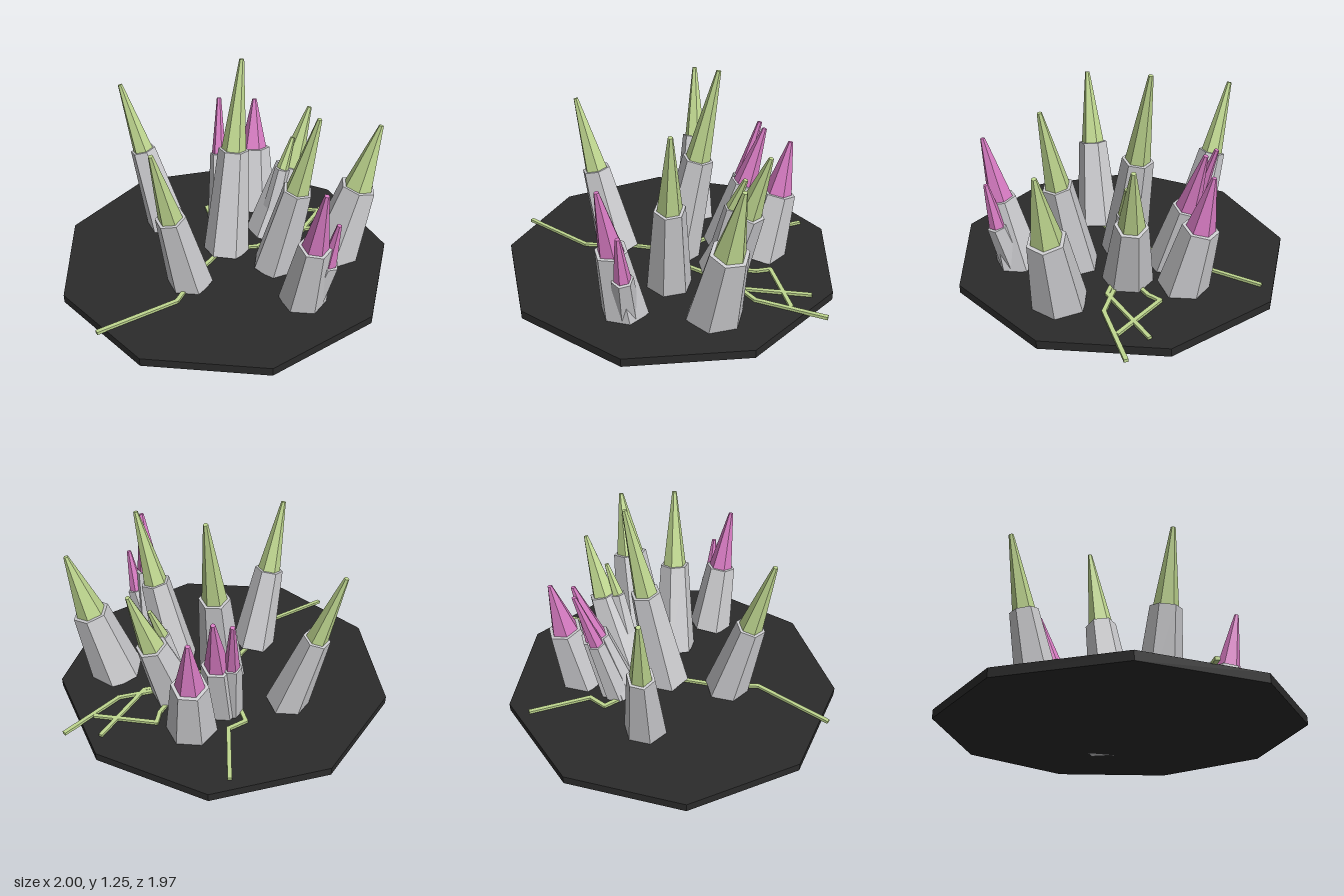
import * as THREE from 'three';

const mat = (name, color) => {
  const m = new THREE.MeshStandardMaterial({ color, flatShading: true });
  m.name = name;
  return m;
};

export function createModel() {
  const group = new THREE.Group();
  const black = mat('charcoal', 0x2b2b2b);
  const grey = mat('pale grey', 0xcdcdd0);
  const green = mat('soft green', 0xc0d890);
  const pink = mat('orchid pink', 0xd97cc4);
  const UP = new THREE.Vector3(0, 1, 0);

  // Tapered prism running between two points
  function frustum(name, a, b, rA, rB, spin, material) {
    const dir = b.clone().sub(a);
    const geo = new THREE.CylinderGeometry(rB, rA, dir.length(), 6, 1, false, spin);
    const mesh = new THREE.Mesh(geo, material);
    mesh.position.copy(a).add(b).multiplyScalar(0.5);
    mesh.quaternion.setFromUnitVectors(UP, dir.normalize());
    mesh.name = name;
    return mesh;
  }

  // Nine-sided base slab
  const base = new THREE.Mesh(new THREE.CylinderGeometry(1.0154, 1.0154, 0.05, 9, 1, false, Math.PI), black);
  base.position.set(0, 0.041, 0.0306);
  base.name = 'base';
  group.add(base);

  // Leaning columns: foot, rim, tip, foot radius, rim radius, spin, spike colour
  const S = Math.PI / 6;
  const columns = [
    [[-0.40, 0.06, -0.23], [-0.545, 0.59, -0.28], [-0.667, 1.015, -0.31], 0.13, 0.08, S, green],
    [[-0.17, 0.06, 0.335], [-0.255, 0.58, 0.433], [-0.326, 1.015, 0.52], 0.135, 0.088, S, green],
    [[0.01, 0.06, 0.0], [0.042, 0.715, -0.12], [0.075, 1.25, -0.222], 0.14, 0.092, S, green],
    [[0.315, 0.06, 0.13], [0.43, 0.63, 0.157], [0.525, 1.092, 0.177], 0.135, 0.09, 0, green],
    [[0.267, 0.053, -0.208], [0.385, 0.51, -0.315], [0.48, 0.883, -0.39], 0.15, 0.095, S, green],
    [[0.25, 0.06, -0.17], [0.335, 0.53, -0.235], [0.388, 0.722, -0.287], 0.075, 0.047, S, green],
    [[0.668, 0.06, -0.03], [0.788, 0.537, -0.062], [0.885, 0.933, -0.09], 0.163, 0.11, 0, green],
    [[0.49, 0.06, 0.43], [0.537, 0.495, 0.502], [0.572, 0.865, 0.568], 0.138, 0.093, S, pink],
    [[0.53, 0.06, 0.43], [0.617, 0.36, 0.463], [0.655, 0.632, 0.488], 0.08, 0.06, 0, pink],
    [[-0.01, 0.06, -0.31], [0.0, 0.49, -0.437], [0.01, 0.84, -0.54], 0.13, 0.09, S, pink],
    [[-0.065, 0.06, -0.33], [-0.083, 0.495, -0.445], [-0.092, 0.84, -0.55], 0.08, 0.056, S, pink],
    [[0.142, 0.06, -0.505], [0.133, 0.47, -0.598], [0.128, 0.79, -0.66], 0.15, 0.105, S, pink],
  ];
  columns.forEach(([f, r, t, rFoot, rRim, spin, colour]) => {
    const foot = new THREE.Vector3(...f), rim = new THREE.Vector3(...r), tip = new THREE.Vector3(...t);
    const column = new THREE.Group();
    column.name = 'column';
    column.add(
      frustum('shaft', foot, rim, rFoot, rRim, spin, grey),
      frustum('spike', rim, tip, rRim * 0.8, 0.014, spin, colour),
    );
    group.add(column);
  });

  // Thin jointed strips lying on the slab, as x, z points
  const strips = [
    [[-0.105, -0.87], [-0.07, -0.5], [-0.165, -0.43], [-0.03, -0.08]],
    [[-0.61, 0.82], [-0.22, 0.53], [-0.13, 0.25], [0, 0]],
    [[0.1, -0.01], [0.2, -0.03], [0.42, -0.22], [0.61, -0.29], [0.86, -0.61]],
    [[0.72, -0.46], [0.35, -0.485], [0.345, -0.4], [0.27, -0.22]],
    [[0.65, -0.61], [0.47, -0.21], [0.3, -0.15]],
  ];
  for (const pts of strips) {
    const strip = new THREE.Group();
    strip.name = 'groundStrip';
    for (let i = 1; i < pts.length; i++) {
      const [x0, z0] = pts[i - 1], [x1, z1] = pts[i];
      const len = Math.hypot(x1 - x0, z1 - z0) + 0.012;
      const seg = new THREE.Mesh(new THREE.BoxGeometry(len, 0.018, 0.024), green);
      seg.position.set((x0 + x1) / 2, 0.072, (z0 + z1) / 2);
      seg.rotation.y = -Math.atan2(z1 - z0, x1 - x0);
      seg.name = 'stripSegment';
      strip.add(seg);
    }
    group.add(strip);
  }
  return group;
}
